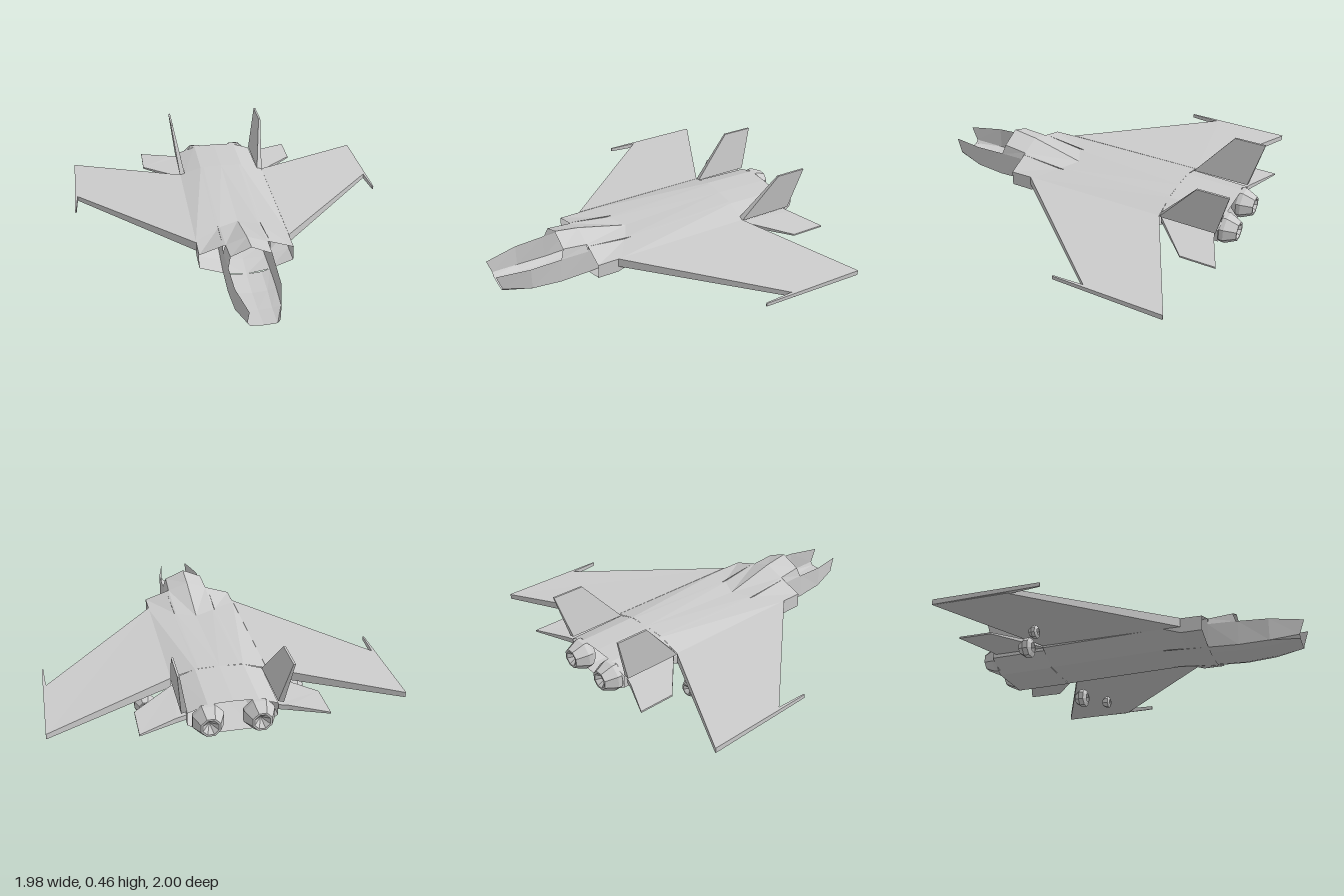
import * as THREE from 'three';

const grey = new THREE.MeshStandardMaterial({ color: 0xcccccc, flatShading: true, side: THREE.DoubleSide });
grey.name = 'light grey';

// Mesh from a list of quads or polygons, each a loop of [x, y, z] corners
function polyMesh(name, faces) {
  const pos = [];
  for (const f of faces) {
    for (let k = 1; k < f.length - 1; k++) pos.push(...f[0], ...f[k], ...f[k + 1]);
  }
  const g = new THREE.BufferGeometry();
  g.setAttribute('position', new THREE.Float32BufferAttribute(pos, 3));
  g.computeVertexNormals();
  const m = new THREE.Mesh(g, grey);
  m.name = name;
  return m;
}

const flip = (p) => [-p[0], p[1], p[2]];

// Open skin over half cross-sections (front to back, keel to ridge), mirrored to both sides
function skin(name, sections) {
  const faces = [];
  for (let i = 0; i < sections.length - 1; i++) {
    for (let j = 0; j < sections[i].length - 1; j++) {
      const a = sections[i][j], b = sections[i][j + 1];
      const c = sections[i + 1][j + 1], d = sections[i + 1][j];
      faces.push([a, d, c, b], [a, b, c, d].map(flip));
    }
  }
  return polyMesh(name, faces);
}

// Closed plate between two matching outlines; upper/outer outline first
function plate(name, A, B, side) {
  const faces = [A, [...B].reverse()];
  A.forEach((p, i) => {
    const n = (i + 1) % A.length;
    faces.push([p, B[i], B[n], A[n]]);
  });
  return polyMesh(name, side > 0 ? faces : faces.map((f) => f.map(flip).reverse()));
}

// Eight-sided turned part pointing backward along z; profile is [radius, z]
function turned(name, profile, x, y) {
  const g = new THREE.LatheGeometry(profile.map(([r, z]) => new THREE.Vector2(r, z)), 8, Math.PI / 8);
  g.rotateX(Math.PI / 2);
  const m = new THREE.Mesh(g, grey);
  m.name = name;
  m.position.set(x, y, 0);
  return m;
}

export function createModel() {
  const model = new THREE.Group();
  const at = (z, pts) => pts.map(([x, y]) => [x, y, z]);

  // Nose trough, open at the top and front
  model.add(skin('noseHull', [
    [[0, 0.055, 0.97], [0.075, 0.06, 0.97], [0.09, 0.08, 0.97], [0.085, 0.172, 1]],
    at(0.8, [[0, 0.03], [0.08, 0.035], [0.13, 0.05], [0.13, 0.187]]),
    at(0.62, [[0, 0.018], [0.09, 0.025], [0.14, 0.042], [0.135, 0.196]]),
    at(0.44, [[0, 0.028], [0.09, 0.035], [0.14, 0.05], [0.14, 0.2]]),
  ]));

  // Canopy shell, open toward the front, fading into the spine
  model.add(skin('canopy', [
    [[0.135, 0.196, 0.61], [0.12, 0.257, 0.59], [0, 0.31, 0.59]],
    at(0.44, [[0.14, 0.2], [0.125, 0.243], [0, 0.288]]),
  ]));

  // Main body with open air intakes at the front
  model.add(skin('upperBody', [
    at(0.44, [[0.28, 0.19], [0.14, 0.238], [0.125, 0.243], [0, 0.288]]),
    [[0.28, 0.192, 0.29], [0.14, 0.205, 0.2], [0.12, 0.207, 0.18], [0, 0.205, 0.12]],
    at(-0.56, [[0.28, 0.195], [0.14, 0.238], [0.12, 0.24], [0, 0.243]]),
  ]));
  model.add(skin('lowerBody', [
    at(0.44, [[0, 0.028], [0.14, 0.05], [0.28, 0.1], [0.28, 0.19]]),
    at(0.31, [[0, 0.05], [0.14, 0.06], [0.28, 0.1], [0.28, 0.192]]),
    at(0.2, [[0, 0.066], [0.14, 0.07], [0.28, 0.14], [0.28, 0.192]]),
    at(-0.56, [[0, 0.048], [0.14, 0.052], [0.28, 0.125], [0.28, 0.195]]),
  ]));
  model.add(skin('rearBody', [
    at(-0.56, [[0, 0.048], [0.14, 0.05], [0.25, 0.12], [0.25, 0.2], [0.14, 0.238], [0, 0.243]]),
    at(-0.91, [[0, 0.045], [0.14, 0.045], [0.25, 0.115], [0.25, 0.19], [0.14, 0.232], [0, 0.236]]),
  ]));

  // Inner walls of the intakes
  model.add(skin('intakeWall', [
    at(0.44, [[0.14, 0.05], [0.14, 0.238]]),
    at(0.12, [[0.13, 0.07], [0.13, 0.205]]),
  ]));

  for (const s of [1, -1]) {
    const side = s > 0 ? 'left' : 'right';

    // Swept wing with a forward-pointing tip rail
    model.add(plate(side + 'Wing',
      [[0.28, 0.194, 0.31], [0.28, 0.196, -0.56], [0.985, 0.157, -0.9], [0.985, 0.157, -0.45]],
      [[0.28, 0.138, 0.31], [0.28, 0.138, -0.56], [0.985, 0.126, -0.9], [0.985, 0.126, -0.45]], s));
    model.add(plate(side + 'WingTipRail',
      [[0.982, 0.157, -0.26], [0.972, 0.157, -0.46], [0.985, 0.157, -0.9], [0.992, 0.157, -0.9], [0.99, 0.157, -0.26]],
      [[0.982, 0.135, -0.26], [0.972, 0.126, -0.46], [0.985, 0.126, -0.9], [0.992, 0.126, -0.9], [0.99, 0.135, -0.26]], s));

    // Tailplane
    const tail = [[0.25, -0.56], [0.25, -0.89], [0.31, -0.91], [0.518, -1], [0.518, -0.79]];
    model.add(plate(side + 'Tailplane',
      tail.map(([x, z]) => [x, x > 0.4 ? 0.156 : 0.168, z]),
      tail.map(([x, z]) => [x, x > 0.4 ? 0.146 : 0.138, z]), s));

    // Outward-leaning vertical fin
    model.add(plate(side + 'Fin',
      [[0.282, 0.19, -0.56], [0.312, 0.468, -0.785], [0.312, 0.468, -0.975], [0.282, 0.19, -0.905]],
      [[0.25, 0.2, -0.56], [0.3, 0.468, -0.785], [0.3, 0.468, -0.975], [0.25, 0.2, -0.905]], s));

    // Engine nozzle with an inner cone
    model.add(turned(side + 'Nozzle',
      [[0.06, -0.87], [0.092, -0.905], [0.092, -0.93], [0.058, -1], [0.046, -1], [0, -0.95]], s * 0.14, 0.145));

    // Short pods below the wing
    model.add(turned(side + 'InnerPod',
      [[0.03, -0.545], [0.06, -0.56], [0.06, -0.592], [0.036, -0.625], [0.028, -0.625], [0, -0.6]], s * 0.437, 0.06));
    model.add(turned(side + 'OuterPod',
      [[0.02, -0.44], [0.039, -0.45], [0.039, -0.47], [0.024, -0.492], [0.018, -0.492], [0, -0.475]], s * 0.597, 0.074));
  }
  return model;
}
